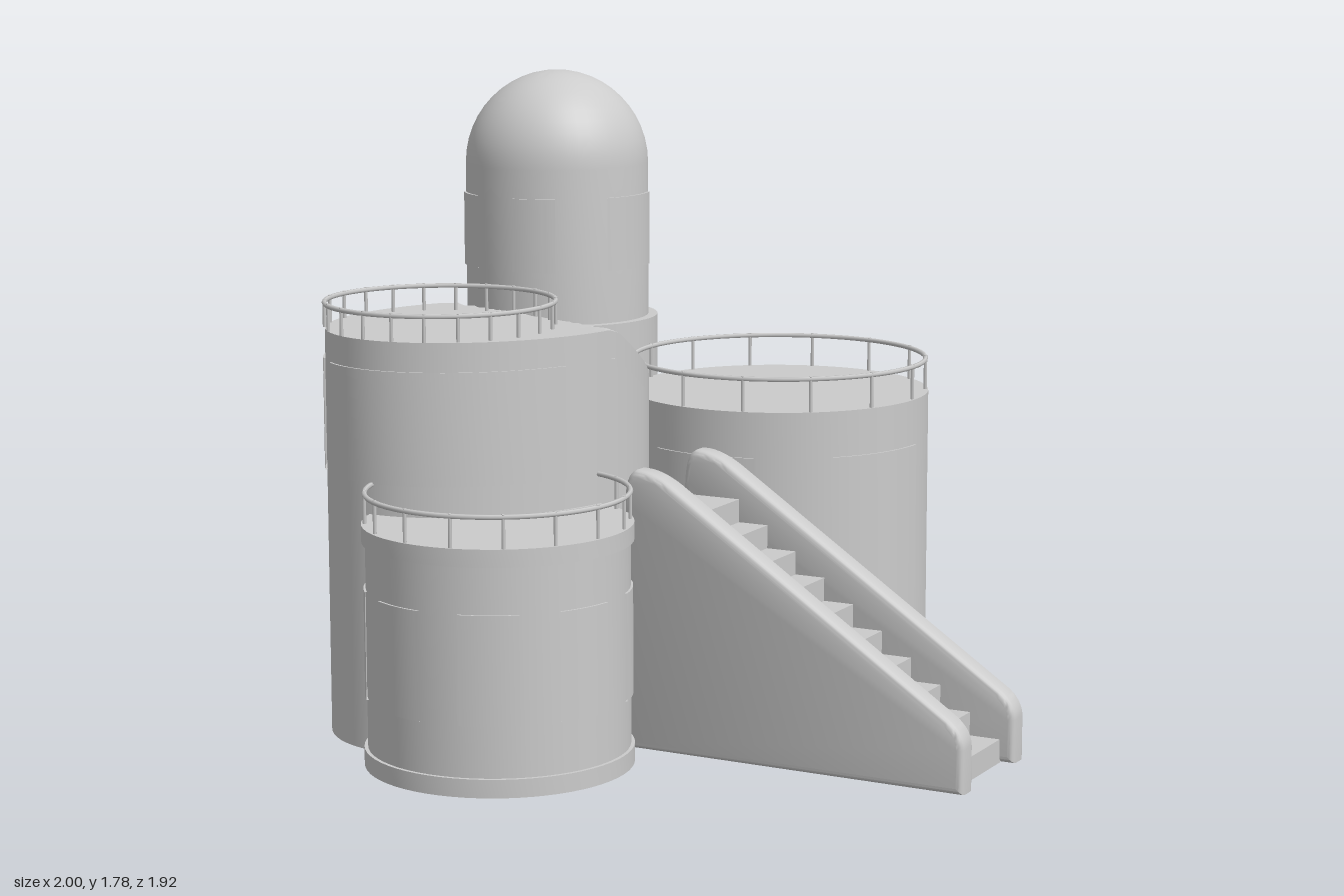
import * as THREE from 'three';
import { toCreasedNormals } from 'three/addons/utils/BufferGeometryUtils.js';

const material = new THREE.MeshStandardMaterial({ color: 0xcccccc, side: THREE.DoubleSide });
const rad = THREE.MathUtils.degToRad;

function add(parent, name, geometry) {
  const mesh = new THREE.Mesh(geometry, material);
  mesh.name = name;
  parent.add(mesh);
  return mesh;
}

function group(parent, name, x = 0, z = 0) {
  const g = new THREE.Group();
  g.name = name;
  g.position.set(x, 0, z);
  parent.add(g);
  return g;
}

// Turned body from a [radius, height] profile; angles in degrees from +z towards +x
function turned(points, segments = 64, from = 0, to = 360) {
  const profile = points.map(([r, y]) => new THREE.Vector2(r, y));
  const g = new THREE.LatheGeometry(profile, segments, rad(from), rad(to - from));
  return toCreasedNormals(g, rad(35));
}

// Thin curved plate standing just proud of a round wall
function plate(r, y0, y1, from, to, depth = 0.006) {
  const a = r - depth, b = r + depth;
  return turned([[a, y0], [b, y0], [b, y1], [a, y1], [a, y0]], 14, from, to);
}

// Circular handrail on evenly spaced posts
function railing(parent, r, y0, y1, posts) {
  const g = group(parent, 'railing');
  const ring = add(g, 'handrail', new THREE.TorusGeometry(r, 0.007, 6, 64));
  ring.rotation.x = Math.PI / 2;
  ring.position.y = y1 - 0.007;
  const post = new THREE.CylinderGeometry(0.005, 0.005, y1 - y0, 6);
  for (let i = 0; i < posts; i++) {
    const a = ((i + 0.5) / posts) * Math.PI * 2;
    add(g, 'railPost', post).position.set(r * Math.sin(a), (y0 + y1) / 2, r * Math.cos(a));
  }
  return g;
}

function domeTower(root) {
  const g = group(root, 'domeTower', -0.7, -0.51);
  add(g, 'towerBase', turned([[0.283, 1.0], [0.283, 0], [0.3, 0], [0.3, 1.055], [0.272, 1.055]]));
  const profile = [[0.272, 1.0], [0.272, 1.51]];
  for (let i = 1; i <= 12; i++) {
    const a = (i / 12) * Math.PI / 2;
    profile.push([0.272 * Math.cos(a), 1.51 + 0.275 * Math.sin(a)]);
  }
  add(g, 'domedTop', turned(profile, 48));
  const windows = [[2, 29], [62, 110], [148, 172], [193, 221], [250, 280], [307, 333]];
  for (const [a, b] of windows) add(g, 'window', plate(0.273, 1.21, 1.425, a, b));
}

function wideTower(root) {
  const g = group(root, 'wideTower', 0.035, -0.53);
  add(g, 'wideWall', turned([[0.435, 0], [0.435, 0.88], [0, 0.88]]));
  for (const [a, b] of [[47, 90], [-25, 18], [-153, -110]]) {
    add(g, 'doorPanel', plate(0.435, 0.13, 0.75, a, b));
  }
  railing(g, 0.426, 0.88, 0.98, 14);
}

function frontTower(root) {
  const g = group(root, 'frontTower', -0.24, 0.595);
  add(g, 'frontWall', turned([
    [0.34, 0], [0.365, 0], [0.365, 0.05], [0.355, 0.05],
    [0.355, 0.612], [0.365, 0.612], [0.365, 0.66], [0, 0.66],
  ]));
  for (let i = -2; i <= 2; i++) {
    add(g, 'window', plate(0.355, 0.19, 0.485, 14 + 44 * i, 40 + 44 * i));
  }
  railing(g, 0.355, 0.66, 0.75, 16);
}

// Oval tower whose flat roof tips into a sloping plane
function ovalTower(root) {
  const g = group(root, 'ovalTower', -0.503, 0.205);
  const oval = new THREE.Matrix4().set(
    0.397, 0, 0, 0,
    0, 1, 0, 0,
    -0.075, 0, 0.469, 0,
    0, 0, 0, 1);
  const roofHeight = (x, z) => {
    const d = (x - 0.398) * 0.356 - (z + 0.015) * 0.934;
    return 1.135 - 0.67 * Math.max(0, d);
  };
  const shape = (geometry, drop = 0) => {
    geometry.applyMatrix4(oval);
    const p = geometry.attributes.position;
    for (let i = 0; i < p.count; i++) {
      p.setY(i, Math.min(p.getY(i), roofHeight(p.getX(i), p.getZ(i)) - drop));
    }
    return geometry;
  };
  add(g, 'ovalWall', shape(new THREE.CylinderGeometry(1, 1, 2, 72, 1, true).translate(0, 1, 0)));
  const roof = shape(new THREE.RingGeometry(0, 1, 72, 24).rotateX(-Math.PI / 2).translate(0, 2, 0));
  add(g, 'slopingRoof', toCreasedNormals(roof, rad(12)));
  add(g, 'doorPanel', shape(plate(1, 0.13, 1.055, 81, 104, 0.015), 0.08));
  for (const [a, b] of [[-113, -50], [-39, 60]]) {
    add(g, 'windowBand', shape(plate(1, 0.745, 1.055, a, b, 0.014), 0.08));
  }
  railing(g, 0.318, 1.135, 1.212, 22).position.set(-0.062, 0, 0.153);
}

function staircase(root) {
  const g = group(root, 'staircase');
  // Side walls with rounded edges
  const b = 0.018;
  const side = new THREE.Shape();
  side.moveTo(-0.01 + b, b);
  side.lineTo(1 - b, b);
  side.lineTo(1 - b, 0.12);
  side.quadraticCurveTo(1 - b, 0.155, 0.945, 0.182);
  side.lineTo(0.13, 0.723);
  side.quadraticCurveTo(0.075, 0.757, 0.03, 0.757);
  side.quadraticCurveTo(0.01, 0.75, -0.01 + b, 0.66);
  const wall = toCreasedNormals(new THREE.ExtrudeGeometry(side, {
    depth: 0.075 - 2 * b, bevelThickness: b, bevelSize: b, bevelSegments: 4, curveSegments: 8,
  }), rad(35));
  for (const z of [-0.095, 0.25]) add(g, 'stairSide', wall).position.z = z + b;

  // Ten treads over a sloping underside
  const rise = 0.065, run = 0.088, count = 10;
  const steps = new THREE.Shape();
  steps.moveTo(0.96, 0);
  for (let i = 0; i < count; i++) {
    steps.lineTo(0.96 - run * i, rise * (i + 1));
    steps.lineTo(i < count - 1 ? 0.96 - run * (i + 1) : 0, rise * (i + 1));
  }
  steps.lineTo(0, 0.6);
  steps.lineTo(0.12, 0.57);
  steps.lineTo(0.9, 0);
  add(g, 'steps', new THREE.ExtrudeGeometry(steps, { depth: 0.29, bevelEnabled: false }))
    .position.z = -0.03;
}

export function createModel() {
  const root = new THREE.Group();
  root.name = 'towerPlayset';
  domeTower(root);
  wideTower(root);
  ovalTower(root);
  frontTower(root);
  staircase(root);
  return root;
}
